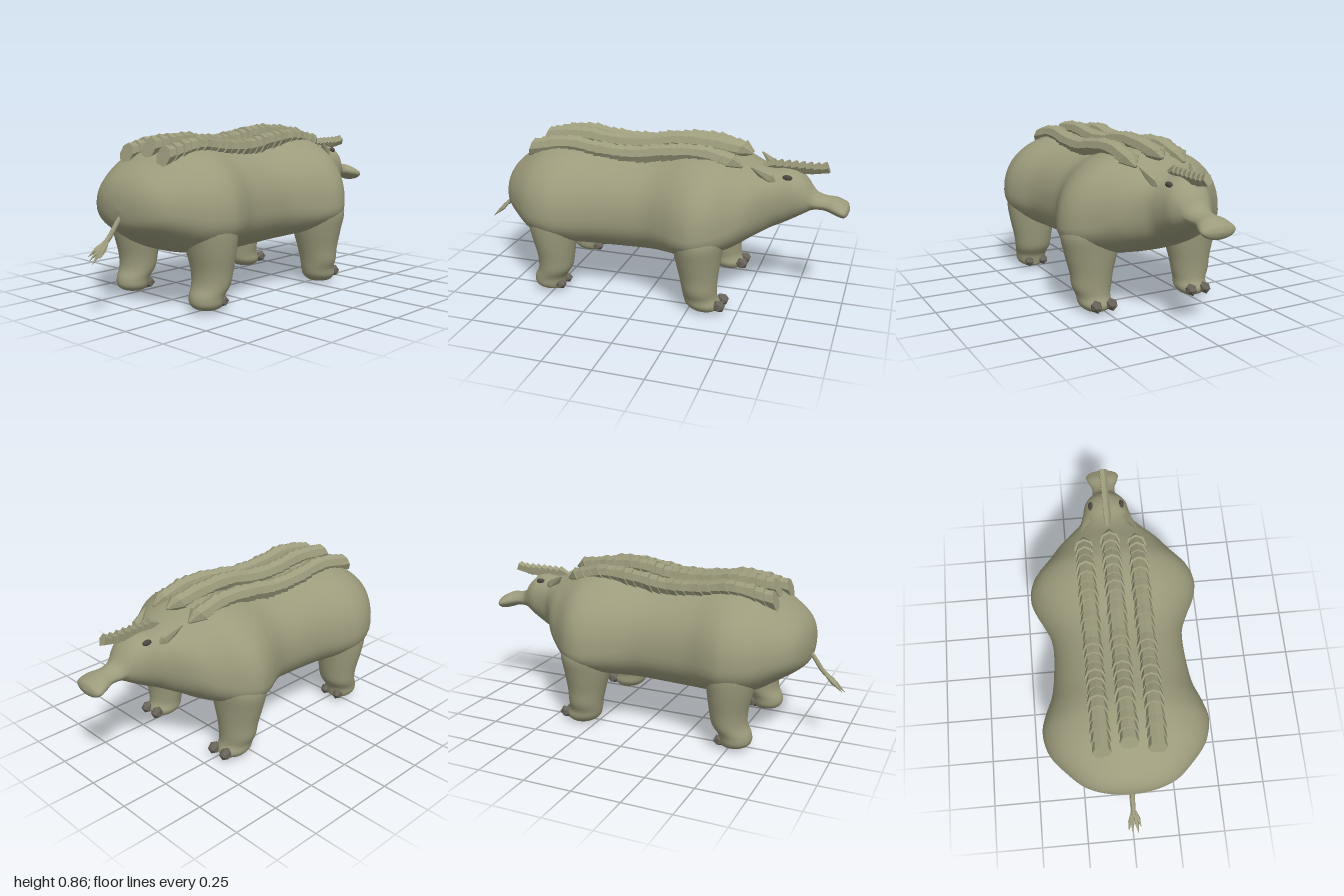
import * as THREE from 'three';

const hide = new THREE.MeshStandardMaterial({ name: 'olive hide', color: 0x9c9b7c });
const scute = new THREE.MeshStandardMaterial({ name: 'olive horn', color: 0x9c9b7c, flatShading: true });
const hoof = new THREE.MeshStandardMaterial({ name: 'dark hoof', color: 0x69645a, flatShading: true });
const eyeDark = new THREE.MeshStandardMaterial({ name: 'dark eye', color: 0x4c473f, flatShading: true });

const V = (x, y, z) => new THREE.Vector3(x, y, z);

// Smooth in-between rows of a table of sections
function smoothRows(rows, steps) {
  const out = [];
  const last = rows.length - 1;
  for (let i = 0; i < last; i++) {
    const p = [rows[Math.max(i - 1, 0)], rows[i], rows[i + 1], rows[Math.min(i + 2, last)]];
    for (let s = 0; s < steps; s++) {
      const t = s / steps;
      out.push(rows[0].map((_, k) => {
        const [a, b, c, d] = p.map((r) => r[k]);
        return b + 0.5 * t * (c - a + t * (2 * a - 5 * b + 4 * c - d + t * (3 * (b - c) + d - a)));
      }));
    }
  }
  out.push(rows[last]);
  return out;
}

// Closed skin over rings of points; each ring runs the same way round
function loft(name, rings, material) {
  const n = rings[0].length;
  const index = [];
  for (let i = 0; i < rings.length - 1; i++) {
    for (let j = 0; j < n; j++) {
      const a = i * n + j, b = i * n + (j + 1) % n;
      index.push(a, b, a + n, b, b + n, a + n);
    }
  }
  const geo = new THREE.BufferGeometry().setFromPoints(rings.flat());
  geo.setIndex(index);
  geo.computeVertexNormals();
  const mesh = new THREE.Mesh(geo, material);
  mesh.name = name;
  return mesh;
}

// Tapered faceted piece between two points
function taper(name, from, to, r0, r1, sides, material, flat = 1) {
  const dir = to.clone().sub(from);
  const geo = new THREE.CylinderGeometry(r1, r0, dir.length(), sides).scale(1, 1, flat);
  const mesh = new THREE.Mesh(geo, material);
  mesh.name = name;
  mesh.quaternion.setFromUnitVectors(V(0, 1, 0), dir.normalize());
  mesh.position.copy(from).add(to).multiplyScalar(0.5);
  return mesh;
}

function blob(name, pos, scale, material, detail = 0) {
  const mesh = new THREE.Mesh(new THREE.IcosahedronGeometry(1, detail), material);
  mesh.name = name;
  mesh.position.copy(pos);
  mesh.scale.copy(scale);
  return mesh;
}

// x, bottom, top, height of widest point, half width
const bodyRows = [
  [-0.832, 0.49, 0.492, 0.491, 0.001], [-0.82, 0.42, 0.57, 0.5, 0.12], [-0.78, 0.38, 0.64, 0.49, 0.23],
  [-0.7, 0.33, 0.7, 0.48, 0.32], [-0.6, 0.275, 0.755, 0.46, 0.4], [-0.49, 0.25, 0.78, 0.45, 0.43],
  [-0.4, 0.24, 0.78, 0.45, 0.41], [-0.28, 0.23, 0.765, 0.45, 0.365], [-0.1, 0.23, 0.75, 0.45, 0.345],
  [0.02, 0.235, 0.755, 0.45, 0.35], [0.12, 0.245, 0.775, 0.44, 0.39], [0.2, 0.255, 0.79, 0.43, 0.43],
  [0.28, 0.265, 0.795, 0.43, 0.45], [0.36, 0.28, 0.79, 0.44, 0.425], [0.45, 0.31, 0.76, 0.46, 0.345],
  [0.52, 0.35, 0.73, 0.5, 0.28], [0.57, 0.375, 0.715, 0.53, 0.215], [0.62, 0.4, 0.71, 0.56, 0.155],
  [0.68, 0.43, 0.715, 0.57, 0.13], [0.74, 0.465, 0.7, 0.58, 0.115], [0.79, 0.495, 0.655, 0.57, 0.085],
  [0.83, 0.51, 0.605, 0.55, 0.066], [0.88, 0.51, 0.585, 0.545, 0.063], [0.93, 0.495, 0.58, 0.535, 0.083],
  [0.97, 0.485, 0.562, 0.525, 0.09], [0.99, 0.495, 0.55, 0.522, 0.065], [1, 0.52, 0.522, 0.521, 0.001],
];

// height, x, z, half length, half width
const foreRows = [
  [0.5, 0.29, 0.27, 0.13, 0.14], [0.4, 0.295, 0.295, 0.13, 0.148], [0.3, 0.295, 0.287, 0.118, 0.138],
  [0.2, 0.3, 0.288, 0.1, 0.113], [0.13, 0.305, 0.29, 0.09, 0.102], [0.08, 0.31, 0.285, 0.088, 0.087],
  [0.04, 0.325, 0.282, 0.09, 0.083], [0.01, 0.335, 0.28, 0.06, 0.055], [0, 0.335, 0.28, 0.001, 0.001],
];
const hindRows = [
  [0.5, -0.5, 0.26, 0.13, 0.14], [0.4, -0.5, 0.275, 0.13, 0.14], [0.3, -0.495, 0.275, 0.115, 0.13],
  [0.2, -0.49, 0.275, 0.097, 0.11], [0.13, -0.497, 0.275, 0.09, 0.1], [0.08, -0.525, 0.275, 0.085, 0.087],
  [0.04, -0.53, 0.275, 0.08, 0.08], [0.015, -0.52, 0.275, 0.06, 0.055], [0.005, -0.52, 0.275, 0.001, 0.001],
];

function ring(n, point) {
  return Array.from({ length: n }, (_, j) => point((j / n) * Math.PI * 2));
}

function leg(name, rows, side) {
  const rings = smoothRows(rows, 4).map(([y, x, z, rx, rz]) =>
    ring(24, (a) => V(x + rx * Math.cos(a), y, side * z + rz * Math.sin(a))));
  return loft(name, rings, hide);
}

// Row of overlapping scutes along the back
function scuteRow(name, z, x0, x1, heights, count) {
  const row = new THREE.Group();
  row.name = name;
  const path = new THREE.CatmullRomCurve3(heights.map((h, i) =>
    V(x0 + ((x1 - x0) * i) / (heights.length - 1), h, z)));
  for (let i = 0; i < count; i++) {
    const u = i / (count - 1);
    const tip = i === count - 1;
    const size = 0.048 + 0.006 * ((i * 7) % 3) / 2;
    const geo = new THREE.CylinderGeometry(tip ? 0.006 : 0.037, size, 0.075, 8).rotateZ(-Math.PI / 2);
    const pos = geo.attributes.position;
    for (let k = 0; k < pos.count; k++) pos.setX(k, pos.getX(k) + 0.5 * pos.getY(k)); // raked rims
    const mesh = new THREE.Mesh(geo, scute);
    mesh.name = 'backScute';
    const dir = path.getTangent(u);
    mesh.position.copy(path.getPoint(u));
    mesh.rotation.z = Math.atan2(dir.y, dir.x);
    row.add(mesh);
  }
  return row;
}

export function createModel() {
  const model = new THREE.Group();
  model.name = 'hornBackedBeast';

  // Body, head and flattened snout in one skin
  const bodyRings = smoothRows(bodyRows, 4).map(([x, bottom, top, mid, w]) => {
    const e = 2 / (x > 0.8 ? 1.85 : 2.2);
    return ring(48, (a) => {
      const c = Math.cos(a), s = Math.sin(a);
      const y = mid + (s > 0 ? top - mid : bottom - mid) * Math.pow(Math.abs(s), e);
      return V(x, y, -Math.sign(c) * w * Math.pow(Math.abs(c), e));
    });
  });
  model.add(loft('body', bodyRings, hide));

  // Back rows
  model.add(scuteRow('middleScutes', 0, -0.6, 0.46, [0.775, 0.79, 0.77, 0.775, 0.805, 0.8, 0.775], 24));
  for (const s of [1, -1]) {
    model.add(scuteRow(s > 0 ? 'leftScutes' : 'rightScutes', s * 0.135, -0.63, 0.44,
      [0.745, 0.775, 0.755, 0.75, 0.775, 0.785, 0.745], 24));

    // Legs and toes
    model.add(leg('frontLeg', foreRows, s), leg('hindLeg', hindRows, s));
    for (const dz of [-0.042, 0.042]) {
      model.add(blob('frontToe', V(0.415, 0.047, s * 0.275 + dz), V(0.036, 0.034, 0.03), hoof));
      model.add(blob('hindToe', V(-0.46, 0.043, s * 0.272 + dz), V(0.036, 0.03, 0.03), hoof));
    }

    // Ears, eyes, nostrils
    model.add(taper('earRoot', V(0.63, 0.655, s * 0.1), V(0.6, 0.68, s * 0.108), 0.016, 0.034, 6, scute, 0.6));
    model.add(taper('ear', V(0.6, 0.68, s * 0.108), V(0.52, 0.742, s * 0.142), 0.034, 0.004, 6, scute, 0.6));
    model.add(blob('eye', V(0.69, 0.686, s * 0.083), V(0.026, 0.015, 0.014), eyeDark, 1));
    model.add(blob('nostril', V(0.905, 0.553, s * 0.056), V(0.016, 0.007, 0.01), eyeDark, 1));
  }

  // Crest of flared horns on the head
  for (let i = 0; i < 8; i++) {
    const x = 0.53 + i * 0.037;
    const lift = i === 7 ? 0.006 : 0;
    model.add(taper('crestHorn', V(x, 0.7, 0), V(x + 0.09, 0.73 + lift, 0), 0.012, 0.032, 5, scute, 0.75));
  }

  // Tail and tuft
  const tailPath = new THREE.CatmullRomCurve3([V(-0.8, 0.48, 0), V(-0.845, 0.425, 0), V(-0.885, 0.37, 0), V(-0.915, 0.345, 0)]);
  const tail = new THREE.Mesh(new THREE.TubeGeometry(tailPath, 12, 0.012, 8), hide);
  tail.name = 'tail';
  model.add(tail);
  for (const [x, y, z] of [[-1, 0.263, 0.02], [-0.985, 0.29, -0.03], [-0.97, 0.285, 0.035], [-0.99, 0.275, -0.012]]) {
    const knot = V(-0.9, 0.355, z * 0.3), end = V(x, y, z);
    const mid = knot.clone().lerp(end, 0.5);
    model.add(taper('tailTuft', knot, mid, 0.005, 0.012, 5, scute), taper('tailTuftTip', mid, end, 0.012, 0.001, 5, scute));
  }
  return model;
}
